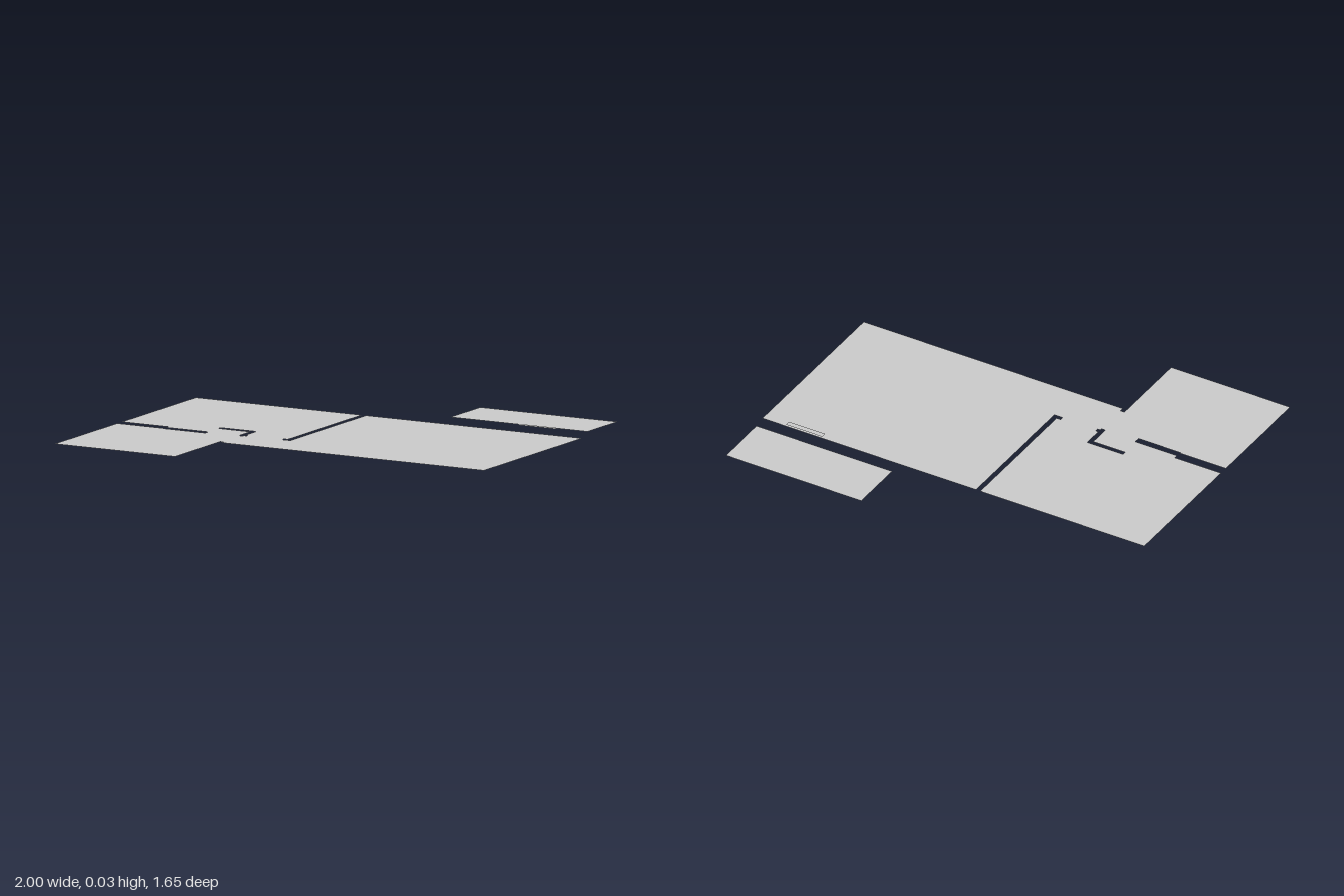
import * as THREE from 'three';

// Flat horizontal plate from an outline of [x, z] points, with optional holes
function plate(name, y, outline, material, holes = []) {
  const toPoints = (list) => list.map(([x, z]) => new THREE.Vector2(x, -z));
  const shape = new THREE.Shape(toPoints(outline));
  for (const hole of holes) shape.holes.push(new THREE.Path(toPoints(hole)));
  const geometry = new THREE.ShapeGeometry(shape).rotateX(-Math.PI / 2);
  const mesh = new THREE.Mesh(geometry, material);
  mesh.name = name;
  mesh.position.y = y;
  return mesh;
}

const rect = (x0, x1, z0, z1) => [[x0, z0], [x1, z0], [x1, z1], [x0, z1]];

export function createModel() {
  const grey = new THREE.MeshStandardMaterial({ color: 0xcccccc, side: THREE.DoubleSide });
  grey.name = 'floor grey';

  // Floor outline, with the wall slots that open onto its edges
  const floorOutline = [
    [-1, -0.47], [-0.14, -0.47],
    // slot of the long inner wall
    [-0.14, 0.208], [-0.16, 0.208], [-0.16, 0.225], [-0.118, 0.225], [-0.118, -0.47],
    [1, -0.47], [1, 0.425], [-0.357, 0.425],
    // notch beside the front room
    [-0.357, 0.405], [-0.377, 0.405], [-0.377, 0.82], [-1, 0.82],
    // slot of the side wall
    [-1, 0.25], [-0.76, 0.25], [-0.76, 0.255], [-0.54, 0.255],
    [-0.54, 0.227], [-0.76, 0.227], [-0.76, 0.208], [-1, 0.208],
  ];

  // L-shaped closet wall slot with a short door jamb
  const closetSlot = [
    [-0.543, 0.112], [-0.357, 0.112], [-0.357, 0.21], [-0.343, 0.21],
    [-0.343, 0.226], [-0.357, 0.226], [-0.357, 0.237], [-0.377, 0.237],
    [-0.377, 0.13], [-0.543, 0.13],
  ];

  const group = new THREE.Group();
  group.name = 'floorPlan';
  group.add(
    plate('mainFloor', 0, floorOutline, grey, [closetSlot]),
    plate('patio', 0.015, rect(0.27, 0.98, -0.828, -0.555), grey),
    plate('doorSill', 0.03, rect(0.67, 0.86, -0.497, -0.47), grey),
  );
  return group;
}
